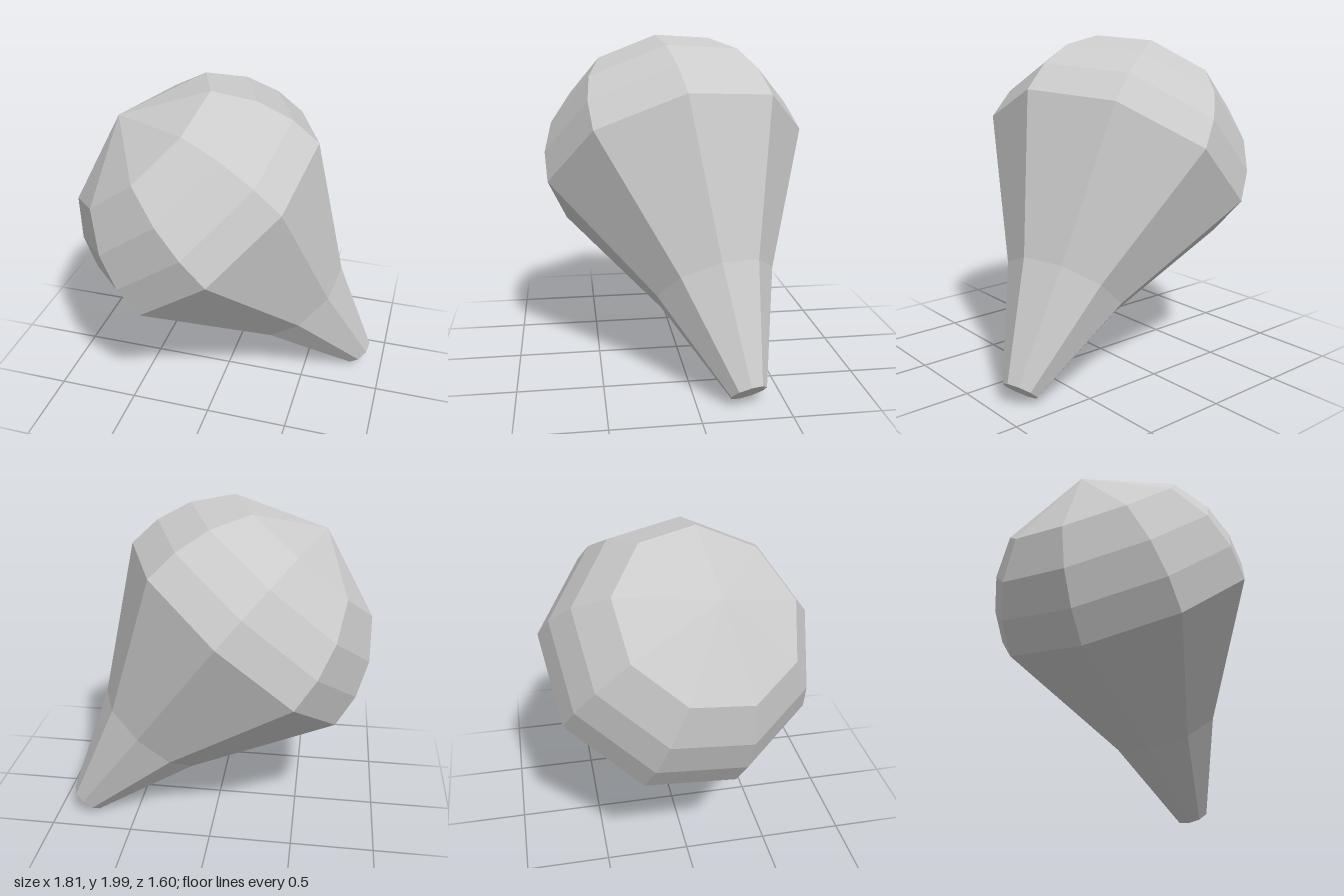
import * as THREE from 'three';

const SIDES = 9;
const R = 0.82; // radius of the rounded head

export function createModel() {
  const group = new THREE.Group();
  group.name = 'taperedBulb';
  const material = new THREE.MeshStandardMaterial({ color: 0xcccccc, flatShading: true });

  // Profile from the capped narrow tip up to the apex of the head (apex at y = 0)
  const profile = [[0, -2.3], [0.107, -2.3], [0.36, -1.645]];
  // Hemispherical head in four equal height steps
  for (let i = 0; i <= 4; i++) {
    const h = (R * i) / 4;
    profile.push([Math.sqrt(R * R - h * h), h - R - 0.003]);
  }
  const geometry = new THREE.LatheGeometry(profile.map(([r, y]) => new THREE.Vector2(r, y)), SIDES);

  const body = new THREE.Mesh(geometry, material);
  body.name = 'bulbBody';

  // Tilt the axis from the tip to the apex, with one ridge facing up and sideways
  const yAxis = new THREE.Vector3(-0.629, 0.753, 0.191).normalize();
  const zAxis = new THREE.Vector3(0.771, 0.636, 0.02);
  const xAxis = new THREE.Vector3().crossVectors(yAxis, zAxis).normalize();
  zAxis.crossVectors(xAxis, yAxis);
  body.quaternion.setFromRotationMatrix(new THREE.Matrix4().makeBasis(xAxis, yAxis, zAxis));
  body.position.set(-0.62, 1.81, 0.15);

  group.add(body);
  return group;
}
